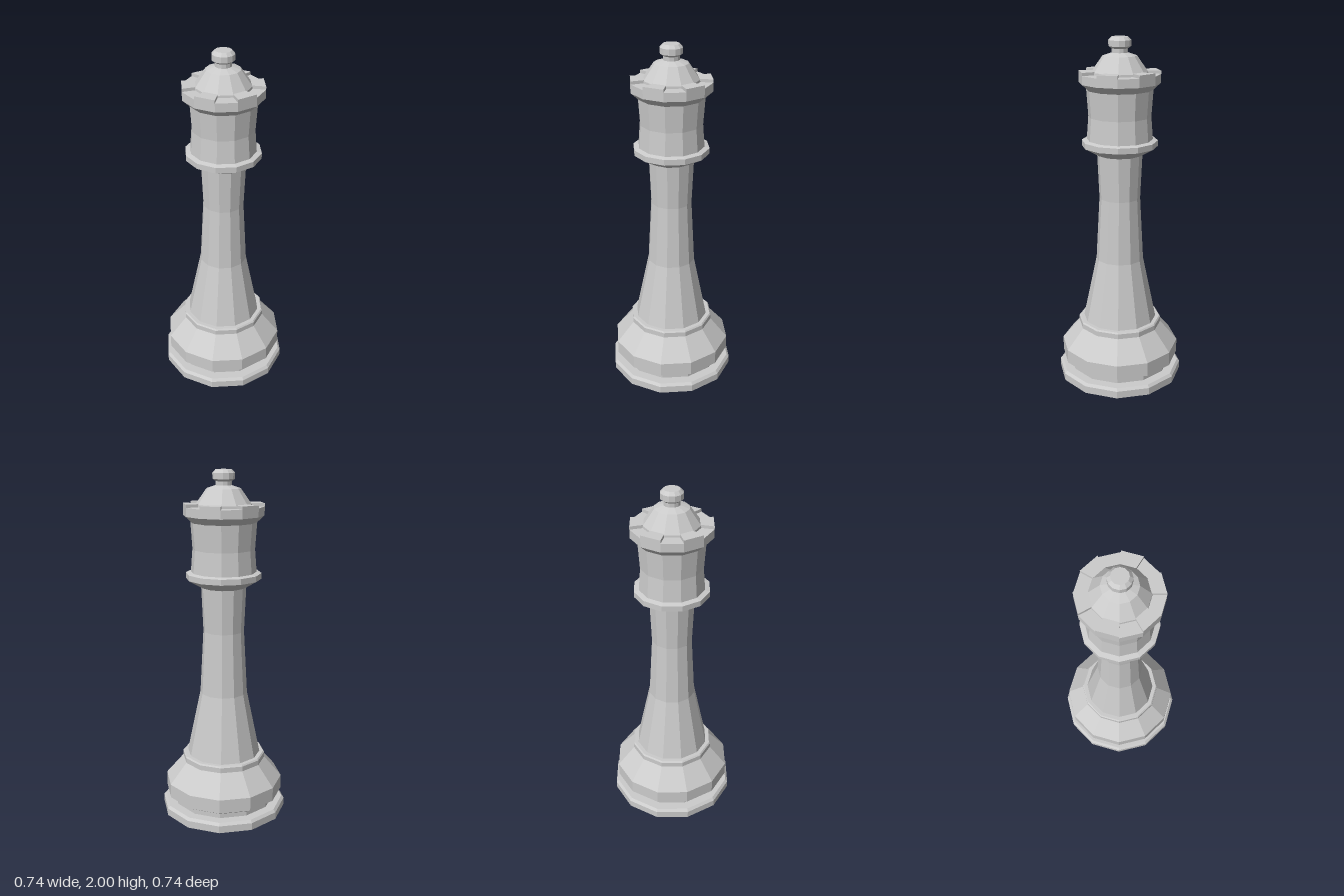
import * as THREE from 'three';

const SIDES = 12;
const STEP = (Math.PI * 2) / SIDES;

export function createModel() {
  const group = new THREE.Group();
  const material = new THREE.MeshStandardMaterial({ color: 0xcccccc, flatShading: true });

  const add = (name, geometry) => {
    const mesh = new THREE.Mesh(geometry, material);
    mesh.name = name;
    group.add(mesh);
    return mesh;
  };

  // Twelve-sided turned part from [radius, height] pairs, bottom to top
  const turned = (name, profile) =>
    add(name, new THREE.LatheGeometry(profile.map(([r, y]) => new THREE.Vector2(r, y)), SIDES));

  // Foot disc, groove, wide drum and sloping shoulder
  turned('base', [
    [0, 0], [0.368, 0], [0.368, 0.043], [0.354, 0.058], [0.3, 0.058], [0.3, 0.085],
    [0.347, 0.113], [0.347, 0.195], [0.245, 0.315], [0.245, 0.345], [0.238, 0.353], [0.215, 0.353],
  ]);

  // Tapered shaft
  turned('stem', [[0.215, 0.353], [0.137, 0.73], [0.117, 1.1], [0.128, 1.355]]);

  // Ring below the head
  turned('collar', [[0.128, 1.355], [0.213, 1.403], [0.213, 1.435], [0.185, 1.442]]);

  // Slightly waisted head
  turned('head', [[0.185, 1.442], [0.175, 1.57], [0.185, 1.718]]);

  // Flared rim with a flat ledge
  turned('crownRim', [[0.185, 1.718], [0.225, 1.755], [0.225, 1.803], [0.15, 1.803]]);

  // Raised blocks on every other side of the rim
  for (let i = 0; i < SIDES; i += 2) {
    const corner = (r, a) => new THREE.Vector2(r * Math.sin(a), -r * Math.cos(a));
    const a = i * STEP;
    const b = a + STEP;
    const shape = new THREE.Shape([corner(0.225, a), corner(0.225, b), corner(0.15, b), corner(0.15, a)]);
    const block = new THREE.ExtrudeGeometry(shape, { depth: 0.017, bevelEnabled: false });
    block.rotateX(-Math.PI / 2);
    add('crownBlock', block).position.y = 1.803;
  }

  // Faceted dome
  turned('dome', [[0.155, 1.803], [0.154, 1.815], [0.094, 1.9], [0.045, 1.916]]);

  // Finial on its short neck
  turned('finial', [
    [0.045, 1.916], [0.045, 1.938], [0.062, 1.95], [0.062, 1.982], [0.045, 2], [0, 2],
  ]);

  return group;
}
